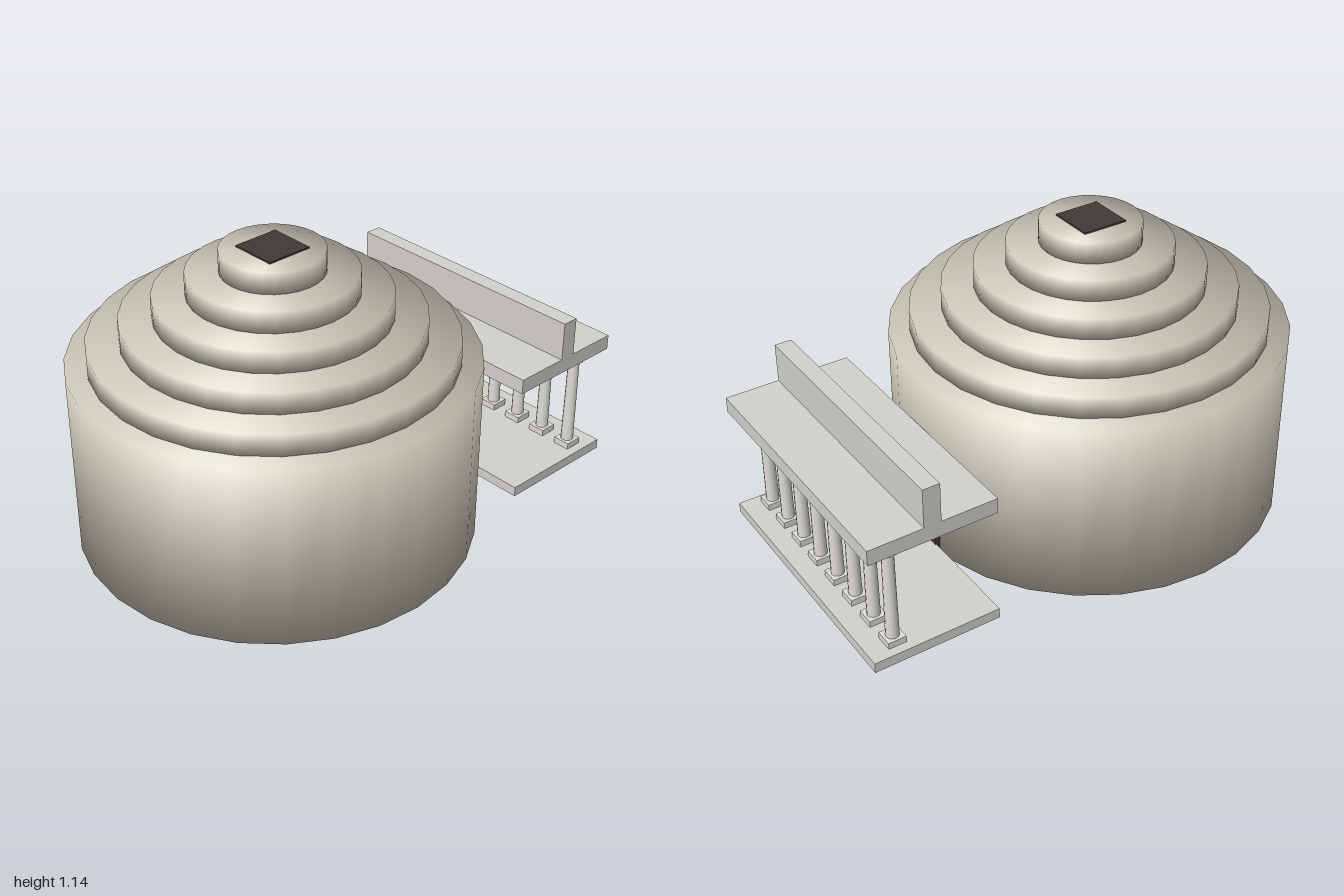
import * as THREE from 'three';

const stone = new THREE.MeshStandardMaterial({ color: 0xcbc7b9 });
const slab = new THREE.MeshStandardMaterial({ color: 0xd4d1cb });
const marble = new THREE.MeshStandardMaterial({ color: 0xe0ddd6 });
const dark = new THREE.MeshStandardMaterial({ color: 0x403a36 });

function add(parent, name, geometry, material) {
  const mesh = new THREE.Mesh(geometry, material);
  mesh.name = name;
  parent.add(mesh);
  return mesh;
}

// Box given by its x width and its y and z ranges
function block(parent, name, material, width, y0, y1, z0, z1, x = 0) {
  const mesh = add(parent, name, new THREE.BoxGeometry(width, y1 - y0, z1 - z0), material);
  mesh.position.set(x, (y0 + y1) / 2, (z0 + z1) / 2);
  return mesh;
}

// Disc whose shading runs smoothly over its rims
function softDisc(parent, name, radius, y0, y1) {
  const geometry = new THREE.CylinderGeometry(radius, radius, y1 - y0, 28);
  const p = geometry.attributes.position;
  const n = new THREE.Vector3();
  for (let i = 0; i < p.count; i++) {
    n.set(p.getX(i) / radius, Math.sign(p.getY(i)), p.getZ(i) / radius).normalize();
    geometry.attributes.normal.setXYZ(i, n.x, n.y, n.z);
  }
  add(parent, name, geometry, stone).position.set(0, (y0 + y1) / 2, 0.251);
}

export function createModel() {
  const model = new THREE.Group();
  model.name = 'domedTemple';

  // Round hall with a stepped dome
  softDisc(model, 'drum', 0.749, 0, 0.715);
  for (let i = 0; i < 5; i++) {
    softDisc(model, `domeStep${i + 1}`, 0.67 - i * 0.12, 0.715 + i * 0.083, 0.798 + i * 0.083);
  }
  block(model, 'oculus', dark, 0.18, 1.125, 1.136, 0.161, 0.341);
  block(model, 'door', dark, 0.21, 0.002, 0.36, -0.505, -0.485);

  // Porch
  const porch = new THREE.Group();
  porch.name = 'porch';
  model.add(porch);
  block(porch, 'porchFloor', slab, 1.066, 0, 0.04, -1, -0.5);
  block(porch, 'porchRoof', slab, 1.066, 0.465, 0.525, -1, -0.5);
  block(porch, 'roofRidge', slab, 1.066, 0.525, 0.68, -0.787, -0.72);

  // Row of columns
  const shaft = new THREE.CylinderGeometry(0.022, 0.025, 0.37, 12);
  const capital = new THREE.CylinderGeometry(0.024, 0.039, 0.025, 12);
  const neck = new THREE.CylinderGeometry(0.026, 0.026, 0.012, 12);
  for (let i = 0; i < 8; i++) {
    const column = new THREE.Group();
    column.name = `column${i + 1}`;
    column.position.set(-0.462 + i * 0.132, 0, -0.89);
    block(column, 'columnBase', marble, 0.07, 0.04, 0.065, -0.035, 0.035);
    add(column, 'columnShaft', shaft, marble).position.y = 0.25;
    add(column, 'columnCapital', capital, marble).position.y = 0.443;
    add(column, 'columnNeck', neck, marble).position.y = 0.46;
    porch.add(column);
  }
  return model;
}
